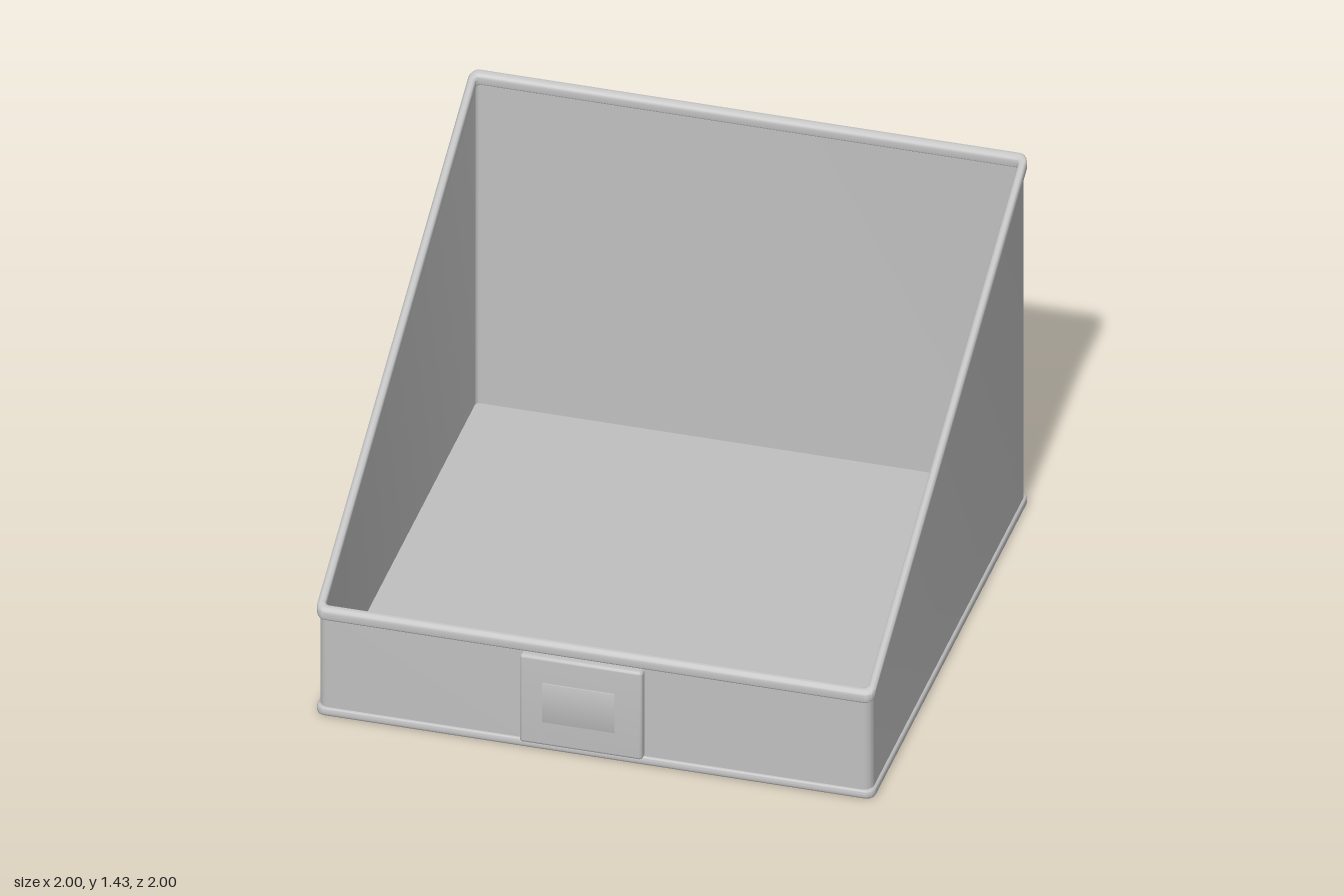
import * as THREE from 'three';
import { toCreasedNormals } from 'three/addons/utils/BufferGeometryUtils.js';

const BACK = -1, FRONT = 0.975, MID = (BACK + FRONT) / 2;
const FRONT_H = 0.432, BACK_H = 1.43;

// height of the sloping top edge at a given depth
const topAt = z => FRONT_H + (BACK_H - FRONT_H) * (FRONT - z) / (FRONT - BACK);

// rounded rectangle
function roundedRect(Type, w, h, r) {
  const p = new Type(), x = w / 2, y = h / 2;
  p.moveTo(-x + r, -y);
  p.lineTo(x - r, -y);
  p.absarc(x - r, -y + r, r, -Math.PI / 2, 0);
  p.lineTo(x, y - r);
  p.absarc(x - r, y - r, r, 0, Math.PI / 2);
  p.lineTo(-x + r, y);
  p.absarc(-x + r, y - r, r, Math.PI / 2, Math.PI);
  p.lineTo(-x, -y + r);
  p.absarc(-x + r, -y + r, r, Math.PI, Math.PI * 1.5);
  return p;
}

// footprint slab or ring standing from y = 0, inset from the outer footprint
function footprint(inset, innerInset, height, bevel) {
  const w = 2, d = FRONT - BACK;
  const shape = roundedRect(THREE.Shape, w - 2 * inset, d - 2 * inset, 0.035);
  if (innerInset) shape.holes.push(roundedRect(THREE.Path, w - 2 * innerInset, d - 2 * innerInset, 0.015));
  const g = new THREE.ExtrudeGeometry(shape, {
    depth: height - 2 * bevel, curveSegments: 6, bevelEnabled: bevel > 0,
    bevelThickness: bevel, bevelSize: bevel, bevelOffset: -bevel, bevelSegments: 4,
  });
  g.translate(0, 0, bevel);
  g.rotateX(-Math.PI / 2);
  g.translate(0, 0, MID);
  return g;
}

// move each vertex height by a rule of height and depth
function reshape(g, rule) {
  const p = g.attributes.position;
  for (let i = 0; i < p.count; i++) p.setY(i, rule(p.getY(i), p.getZ(i)));
  return g;
}

// thin rounded plate facing +z
function plate(w, h, depth, r, bevel) {
  return new THREE.ExtrudeGeometry(roundedRect(THREE.Shape, w, h, r), {
    depth: depth - bevel, curveSegments: 4, bevelThickness: bevel, bevelSize: bevel,
    bevelOffset: -bevel, bevelSegments: 4,
  });
}

export function createModel() {
  const model = new THREE.Group();
  model.name = 'slopedBin';
  const grey = new THREE.MeshStandardMaterial({ color: 0xc0c0c0 });
  grey.name = 'grey plastic';

  const add = (name, geometry) => {
    const mesh = new THREE.Mesh(toCreasedNormals(geometry, 0.6), grey);
    mesh.name = name;
    model.add(mesh);
    return mesh;
  };

  // base lip and inner floor
  add('base', footprint(0, 0, 0.035, 0.012));
  add('floor', footprint(0.02, 0, 0.07, 0));

  // four walls cut off along the slope
  add('walls', reshape(footprint(0.01, 0.027, 1, 0),
    (y, z) => y < 0.5 ? 0.02 : topAt(z) - 0.012));

  // rounded rim that follows the slope
  add('rim', reshape(footprint(0, 0.03, 0.042, 0.012),
    (y, z) => topAt(z) - 0.042 + y));

  // front plate with a slim label panel
  add('frontPlate', plate(0.44, 0.36, 0.045, 0.012, 0.012)).position.set(-0.042, 0.212, 0.95);
  add('labelPanel', plate(0.26, 0.16, 0.008, 0.004, 0.002)).position.set(-0.05, 0.21, 0.99);

  return model;
}
